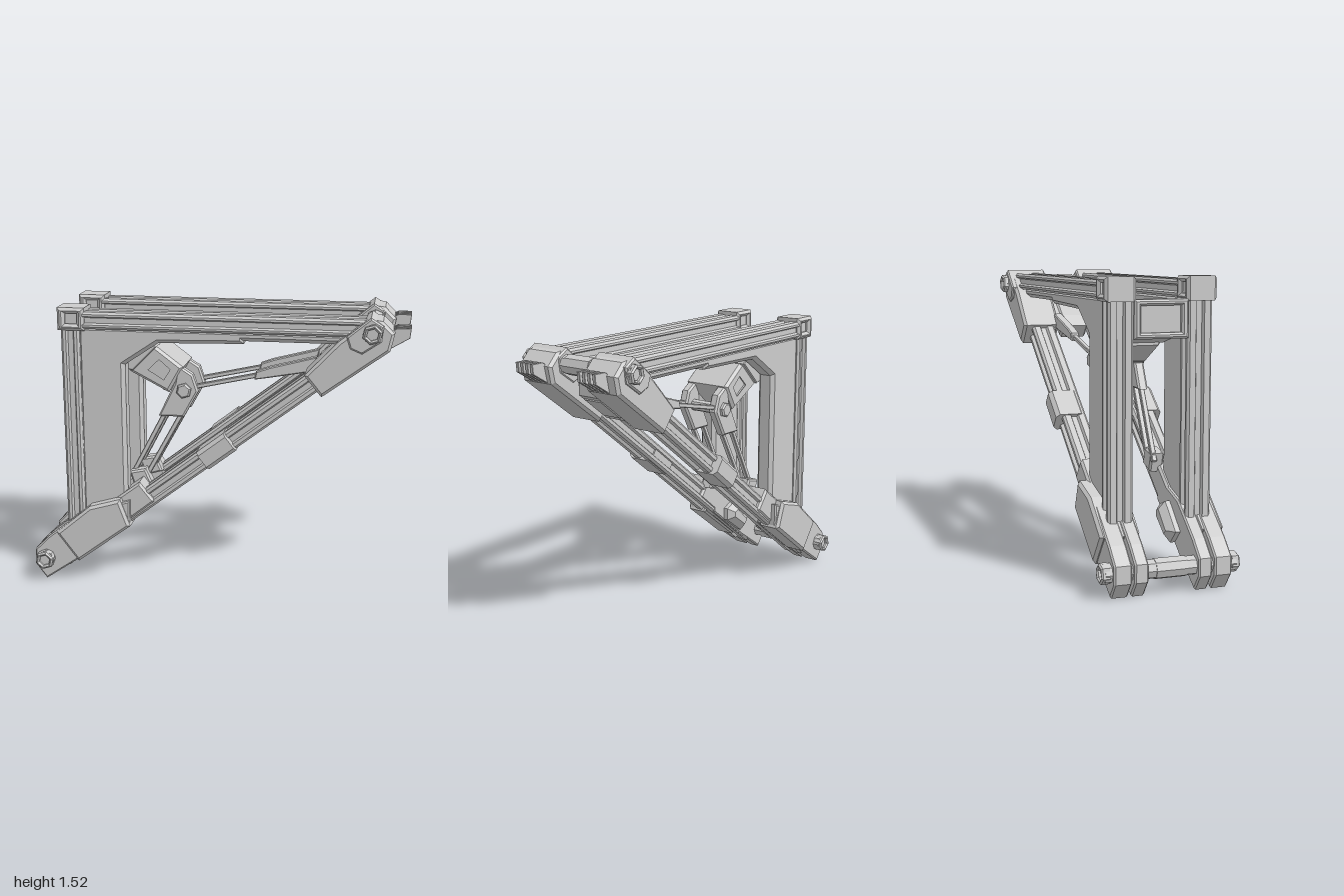
import * as THREE from 'three';

const material = new THREE.MeshStandardMaterial({ color: 0xcccccc, flatShading: true, side: THREE.DoubleSide });

function toShape(points) {
  return new THREE.Shape(points.map(([x, y]) => new THREE.Vector2(x, y)));
}

export function createModel() {
  const model = new THREE.Group();

  const add = (name, geometry) => {
    const mesh = new THREE.Mesh(geometry, material);
    mesh.name = name;
    model.add(mesh);
    return mesh;
  };

  // Plate with an outline in x-y, between two depths, with chamfered rims
  const slab = (name, points, z0, z1, bevel = 0.01, holes = []) => {
    const shape = toShape(points);
    shape.holes = holes.map(toShape);
    const depth = Math.abs(z1 - z0) - 2 * bevel;
    const geometry = new THREE.ExtrudeGeometry(shape, {
      depth, bevelEnabled: bevel > 0, bevelSize: bevel, bevelOffset: -bevel, bevelThickness: bevel, bevelSegments: 1,
    });
    geometry.translate(0, 0, (z0 + z1) / 2 - depth / 2);
    return add(name, geometry);
  };

  // Straight bar in the x-y plane at depth z; the section is given as half sizes
  const bar = (name, a, b, z, section) => {
    const dir = new THREE.Vector3(b[0] - a[0], b[1] - a[1], 0);
    const geometry = new THREE.ExtrudeGeometry(toShape(section), { depth: dir.length(), bevelEnabled: false });
    dir.normalize();
    const across = new THREE.Vector3(0, 0, 1);
    geometry.applyMatrix4(new THREE.Matrix4().makeBasis(across.clone().cross(dir), across, dir).setPosition(a[0], a[1], z));
    return add(name, geometry);
  };
  const plain = (h, w, c = 0.006) => [
    [-h, -w + c], [-h + c, -w], [h - c, -w], [h, -w + c], [h, w - c], [h - c, w], [-h + c, w], [-h, w - c],
  ];
  // Rail section with a groove on each of its four sides
  const grooved = (h, w) => {
    const g = 0.014, d = 0.016, c = 0.012;
    const quarter = [[h - d, 0], [h - d, g], [h, g + 0.008], [h, w - c], [h - c, w], [g + 0.008, w], [g, w - d]];
    const half = [...quarter, ...quarter.map(([x, y]) => [-x, y]).reverse()];
    return [...half, ...half.slice(1, -1).map(([x, y]) => [x, -y]).reverse()];
  };

  const pin = (name, x, y, z, radius, length, sides = 8) => {
    const geometry = new THREE.CylinderGeometry(radius, radius, length, sides);
    geometry.rotateX(Math.PI / 2);
    geometry.translate(x, y, z);
    return add(name, geometry);
  };
  // Hexagonal nut with a socket
  const nut = (name, x, y, z, radius, length) => {
    const ring = (r) => Array.from({ length: 6 }, (_, i) => [
      x + r * Math.cos(i * Math.PI / 3 + 0.3), y + r * Math.sin(i * Math.PI / 3 + 0.3)]);
    slab(name, ring(radius), z - length / 2, z + length / 2, 0.008, [ring(radius * 0.6)]);
  };
  const rect = (x0, y0, x1, y1) => [[x0, y0], [x1, y0], [x1, y1], [x0, y1]];

  // Axis of the diagonal beam
  const diagonal = (x) => [x, 0.545 + (x + 0.29) * 0.772];

  for (const s of [1, -1]) {
    // Top rail, rear post and corner cap
    bar('topRail', [-0.7, 1.455], [0.8, 1.455], s * 0.208, grooved(0.045, 0.077));
    bar('rearPost', [-0.767, 0.3], [-0.767, 1.42], s * 0.205, grooved(0.05, 0.065));
    slab('cornerCap', rect(-0.83, 1.4, -0.685, 1.52), s * 0.13, s * 0.29, 0.015, [rect(-0.79, 1.435, -0.725, 1.49)]);
    slab('cornerCapCore', rect(-0.8, 1.42, -0.71, 1.5), s * 0.15, s * 0.265, 0);

    // Web panel with recessed pockets, running on below the top rail
    slab('webPanel', [
      [-0.73, 0.38], [-0.48, 0.45], [-0.48, 1.22], [-0.3, 1.34], [0.15, 1.35], [0.15, 1.365], [0.7, 1.365], [0.7, 1.42], [-0.73, 1.42],
    ], s * 0.15, s * 0.255, 0.02, [
      [[-0.7, 1.25], [-0.54, 1.25], [-0.42, 1.36], [-0.7, 1.36]],
      rect(-0.7, 1.0, -0.535, 1.06),
      rect(-0.7, 0.795, -0.535, 0.985),
      [[-0.71, 0.62], [-0.535, 0.62], [-0.535, 0.78], [-0.695, 0.78]],
      rect(-0.7, 0.52, -0.535, 0.61),
    ]);
    slab('webCore', [[-0.72, 0.4], [-0.51, 0.46], [-0.51, 1.24], [-0.4, 1.39], [-0.72, 1.39]], s * 0.185, s * 0.22, 0);
    slab('pocketRib', [[-0.7, 0.715], [-0.54, 0.715], [-0.54, 0.75], [-0.7, 0.75]], s * 0.16, s * 0.245, 0.005);

    // Diagonal beam and its middle clip
    bar('diagonalBeam', diagonal(-0.85), diagonal(0.75), s * 0.2, grooved(0.052, 0.066));
    bar('middleClip', diagonal(-0.06), diagonal(0.085), s * 0.222, plain(0.057, 0.08, 0.02));

    // Lower foot: two tabs, outer cover, collar and inner block
    const foot = [[-0.92, 0.25], [-0.73, 0.4], [-0.46, 0.48], [-0.46, 0.35], [-0.75, 0.13], [-0.94, 0], [-1, 0.08], [-1, 0.17]];
    slab('footInnerTab', foot, s * 0.13, s * 0.2, 0.008);
    slab('footOuterTab', foot, s * 0.214, s * 0.305, 0.008);
    slab('footCover', [[-0.87, 0.28], [-0.68, 0.44], [-0.51, 0.49], [-0.455, 0.34], [-0.75, 0.12]], s * 0.19, s * 0.325, 0.015);
    slab('footCollar', [[-0.62, 0.42], [-0.41, 0.58], [-0.325, 0.475], [-0.52, 0.32]], s * 0.13, s * 0.275, 0.012);
    slab('footInnerBlock', [[-0.77, 0.25], [-0.63, 0.38], [-0.56, 0.35], [-0.56, 0.28], [-0.7, 0.18]], s * 0.07, s * 0.17, 0.035);

    // Upper head: sleeve, bolt pad and fingers
    slab('headSleeve', [
      [0.47, 1.21], [0.64, 1.39], [0.79, 1.51], [0.86, 1.5], [0.92, 1.44], [0.9, 1.35], [0.56, 1.1],
    ], s * 0.105, s * 0.315, 0.015);
    slab('headPad', [[0.68, 1.42], [0.8, 1.52], [0.865, 1.48], [0.855, 1.4], [0.76, 1.335], [0.7, 1.36]], s * 0.1, s * 0.33, 0.008);
    for (let i = 0; i < 4; i++) {
      const z = 0.152 + i * 0.032;
      slab('headFinger', [[0.86, 1.33], [0.995, 1.41], [1, 1.46], [0.93, 1.46], [0.86, 1.42]], s * (z - 0.009), s * (z + 0.009), 0.002);
    }

    // Pin heads at both ends of the diagonal
    for (const [x, y] of [[-0.935, 0.125], [0.81, 1.44]]) {
      pin('pinCollar', x, y, s * 0.3, 0.05, 0.08);
      nut('pinNut', x, y, s * 0.335, 0.052, 0.05);
      pin('pinSocket', x, y, s * 0.325, 0.036, 0.03);
    }

    // Lever plate with its bolt
    slab('leverPlate', [[-0.22, 1.2], [-0.14, 1.15], [-0.11, 1.06], [-0.19, 0.915], [-0.33, 0.915], [-0.24, 1.1]],
      s * 0.075, s * 0.13, 0.01);
    nut('leverNut', -0.187, 1.064, s * 0.137, 0.042, 0.03);

    // Linkage rods
    bar('lowerRod', [-0.29, 0.94], [-0.49, 0.56], s * 0.1, plain(0.013, 0.014, 0.004));
    bar('lowerBrace', [-0.205, 0.93], [-0.42, 0.54], s * 0.1, plain(0.013, 0.014, 0.004));
    slab('lowerRodFoot', [[-0.49, 0.6], [-0.4, 0.62], [-0.36, 0.53], [-0.46, 0.5]], s * 0.085, s * 0.16, 0.01);
    bar('upperRod', [-0.16, 1.075], [0.24, 1.165], s * 0.1, plain(0.012, 0.014, 0.004));
    slab('upperRodSleeve', [[0.19, 1.135], [0.2, 1.18], [0.27, 1.205], [0.52, 1.27], [0.5, 1.19], [0.28, 1.15]], s * 0.075, s * 0.125, 0.006);
  }

  // Cross shafts joining both sides
  for (const [x, y] of [[-0.935, 0.125], [0.81, 1.44]]) {
    pin('crossShaft', x, y, 0, 0.048, 0.62);
    pin('shaftNeck', x, y, 0, 0.052, 0.16);
  }
  pin('leverShaft', -0.187, 1.064, 0, 0.032, 0.26);

  // Framed panel between the posts, below the corner caps
  const crossPanel = slab('crossPanel', rect(-0.14, 1.22, 0.14, 1.41), -0.045, 0.045, 0.01, [rect(-0.105, 1.25, 0.105, 1.38)]);
  crossPanel.rotation.y = Math.PI / 2;
  crossPanel.position.x = -0.785;
  slab('crossPanelCore', rect(-0.805, 1.23, -0.765, 1.4), -0.13, 0.13, 0);

  // Tilted block that carries the levers, with recessed side faces
  slab('leverBlock', [[-0.48, 1.16], [-0.48, 1.25], [-0.35, 1.31], [-0.19, 1.19], [-0.27, 1.05]], -0.14, 0.14, 0.015,
    [[[-0.4, 1.17], [-0.32, 1.25], [-0.24, 1.18], [-0.29, 1.1]]]);
  slab('leverBlockCore', [[-0.42, 1.17], [-0.32, 1.27], [-0.22, 1.18], [-0.29, 1.08]], -0.115, 0.115, 0);
  slab('leverBlockMount', [[-0.58, 1.2], [-0.58, 1.26], [-0.36, 1.34], [-0.33, 1.3], [-0.46, 1.17]], -0.16, 0.16, 0.005);

  // Concave web between the lever plates, lying along the block
  const web = new THREE.Shape();
  web.moveTo(-0.3, -0.12);
  web.lineTo(-0.15, -0.12);
  web.quadraticCurveTo(-0.26, -0.08, -0.27, 0);
  web.quadraticCurveTo(-0.26, 0.08, -0.15, 0.12);
  web.lineTo(-0.3, 0.12);
  const webGeometry = new THREE.ExtrudeGeometry(web, { depth: 0.06, bevelEnabled: false, curveSegments: 6 });
  webGeometry.rotateX(-Math.PI / 2);
  webGeometry.translate(0, 1.06, 0);
  add('leverWeb', webGeometry);

  // Framed block between the upper heads, in line with the diagonal
  slab('headBlock', [[0.5, 1.2], [0.53, 1.26], [0.69, 1.385], [0.76, 1.37], [0.76, 1.28], [0.56, 1.13]], -0.08, 0.08, 0.012);
  bar('headBlockPad', [0.59, 1.16], [0.73, 1.265], 0, plain(0.012, 0.06));
  bar('headBridge', [0.55, 1.22], [0.68, 1.32], 0, plain(0.035, 0.12));

  return model;
}
